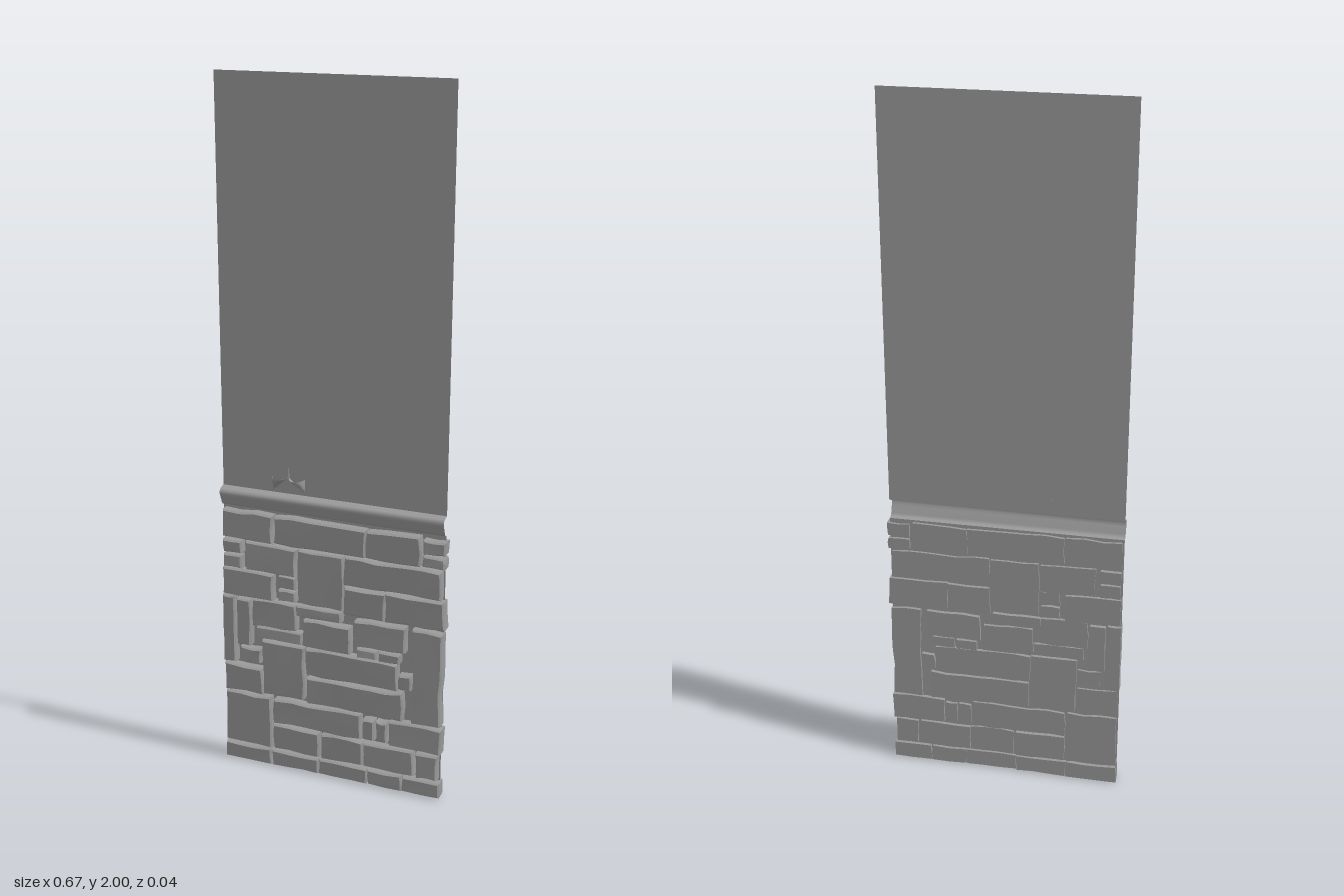
import * as THREE from 'three';
import { toCreasedNormals } from 'three/addons/utils/BufferGeometryUtils.js';

const sheetMaterial = new THREE.MeshStandardMaterial({ color: 0x9b9b9b, side: THREE.DoubleSide });
const stoneMaterial = new THREE.MeshStandardMaterial({ color: 0x999999 });
const WALL_Z = -0.012;
const LEFT = -0.337, RIGHT = 0.326;

// Stones by course, bottom to top: [x0, x1, y0, y1] in hundredths of a unit
const courses = {
  base: [
    [-33.5, -19, 0.5, 5], [-18.5, -4, 0.5, 5], [-3.5, 11, 0.5, 5], [11.5, 21.5, 0.5, 5], [22, 33, 0.5, 5],
    [-33, -19, 6, 22], [-18, -4, 6, 13.5], [-3, 9.5, 6, 13.5], [10, 25, 6, 13.5], [26, 32, 6, 13.5],
    [-18, 9, 14.5, 22], [10, 13, 15, 21], [14, 17, 15, 21], [18, 33, 14.5, 22],
  ],
  middle: [
    [-33, -21.5, 23, 31], [-21, -8.5, 23.5, 40], [-7.5, 21.5, 23, 31], [-7.5, 20, 32, 40],
    [20.5, 24, 33, 37], [24.5, 32.5, 23, 51.5], [-33.5, -30, 32, 52.5], [-28, -22, 33, 37],
    [-29, -25, 38, 52], [-23, -9, 41, 44.5], [-24, -11, 45, 53], [-8.5, 5.5, 41, 49],
    [7, 22, 44, 51.5], [8, 13.5, 40.5, 43], [14.5, 20.5, 40.5, 43], [-10.5, 3, 50, 53],
  ],
  upper: [
    [-33, -18, 53.5, 61], [-16, -11, 54, 57], [-16, -11, 58, 61.5], [-10, 3.5, 54, 70],
    [4, 16, 53, 61], [16.5, 33.2, 53, 61], [-33, -27.5, 62, 65.5], [-33, -27.5, 66.5, 70],
    [-26, -11, 62, 70], [4, 32, 62, 70], [-33, -18, 71, 79], [-17, 10, 71, 79],
    [10.5, 26, 71, 79], [27, 33, 71, 74], [27, 33, 75, 78.5],
  ],
};

// Repeatable noise in -1..1
function noise(a, b, c) {
  const s = Math.sin(a * 127.1 + b * 311.7 + c * 74.7) * 43758.5453;
  return 2 * (s - Math.floor(s)) - 1;
}

// Rough block: flat back, straight sides, chamfered and gently tilted face
function stoneGeometry([x0, x1, y0, y1], seed) {
  const w = (x1 - x0) / 100 + 0.003, h = (y1 - y0) / 100 + 0.003;
  const nx = Math.max(2, Math.round(w / 0.05)), ny = Math.max(2, Math.round(h / 0.05));
  const geometry = new THREE.BoxGeometry(1, 1, 1, nx, ny, 2);
  const p = geometry.attributes.position;
  const wobble = Math.min(0.003, 0.05 * Math.min(w, h));
  const back = -0.021 - 0.003 * noise(seed, 1, 2);
  for (let i = 0; i < p.count; i++) {
    const u = p.getX(i), v = p.getY(i), layer = Math.round(p.getZ(i) * 2);
    const a = Math.round((u + 0.5) * nx), b = Math.round((v + 0.5) * ny);
    const inset = layer === 1 ? 0.004 : 0;
    const face = 0.016 + 0.002 * (u * noise(seed, 3, 4) + v * noise(seed, 5, 6)) + 0.0007 * noise(a, b, seed);
    p.setXYZ(i,
      (x0 + x1) / 200 + u * (w - 2 * inset) + wobble * noise(a, b, seed),
      Math.max(0.002, (y0 + y1) / 200 + v * (h - 2 * inset) + wobble * noise(a, b, seed + 4)),
      [back, 0.01, face][layer + 1]);
  }
  return toCreasedNormals(geometry, 0.5);
}

// Sheet swept along x from a [y, z] profile
function sweptSheet(profile) {
  const geometry = new THREE.PlaneGeometry(1, 1, 1, profile.length - 1);
  const p = geometry.attributes.position;
  for (let i = 0; i < p.count; i++) {
    const [y, z] = profile[profile.length - 1 - Math.floor(i / 2)];
    p.setXYZ(i, i % 2 ? RIGHT : LEFT, y, z);
  }
  return toCreasedNormals(geometry, 0.7);
}

// Half-bowl petal: flat open rim on top, tapering to the wall; side is -1 or 1
function petalGeometry(side) {
  const geometry = new THREE.PlaneGeometry(1, 1, 12, 8);
  const p = geometry.attributes.position;
  for (let i = 0; i < p.count; i++) {
    const u = p.getX(i) + 0.5, v = p.getY(i) + 0.5;
    const bottom = 0.903 - 0.041 * u, top = 0.905;
    const bulge = Math.sqrt(Math.max(0, Math.sin(Math.PI * u))) * Math.sin(v * Math.PI / 2);
    p.setXYZ(i, side * (0.003 + 0.046 * u), bottom + (top - bottom) * v, WALL_Z + 0.001 + 0.031 * bulge);
  }
  geometry.computeVertexNormals();
  // Mirroring reverses the winding, so turn those faces back
  if (side < 0) {
    geometry.index.array.reverse();
    geometry.computeVertexNormals();
  }
  return geometry;
}

export function createModel() {
  const group = new THREE.Group();
  const add = (name, geometry, material = sheetMaterial, parent = group) => {
    const mesh = new THREE.Mesh(geometry, material);
    mesh.name = name;
    parent.add(mesh);
    return mesh;
  };

  // Thin wall sheets above and below the rail
  add('upperWall', sweptSheet([[0.857, WALL_Z], [2, WALL_Z]]));
  add('lowerWall', sweptSheet([[0, WALL_Z], [0.8, WALL_Z]]));

  // Moulded rail, hollow behind
  add('rail', sweptSheet([
    [0.8, WALL_Z], [0.803, -0.002], [0.81, 0.003], [0.82, 0.006], [0.83, 0.011],
    [0.839, 0.015], [0.847, 0.014], [0.853, 0.008], [0.856, -0.002], [0.857, WALL_Z],
  ]));

  // Stone facing
  let seed = 1;
  for (const [name, stones] of Object.entries(courses)) {
    const course = new THREE.Group();
    course.name = name + 'Stones';
    for (const stone of stones) add('stone', stoneGeometry(stone, seed++), stoneMaterial, course);
    group.add(course);
  }

  // Ornament on the rail: two petals and a slim spike
  const ornament = new THREE.Group();
  ornament.name = 'ornament';
  ornament.position.x = -0.135;
  for (const side of [-1, 1]) add('petal', petalGeometry(side), sheetMaterial, ornament);
  const spike = add('spike', new THREE.ConeGeometry(0.003, 0.04, 6), sheetMaterial, ornament);
  spike.position.set(0, 0.92, WALL_Z + 0.002);
  group.add(ornament);

  return group;
}
